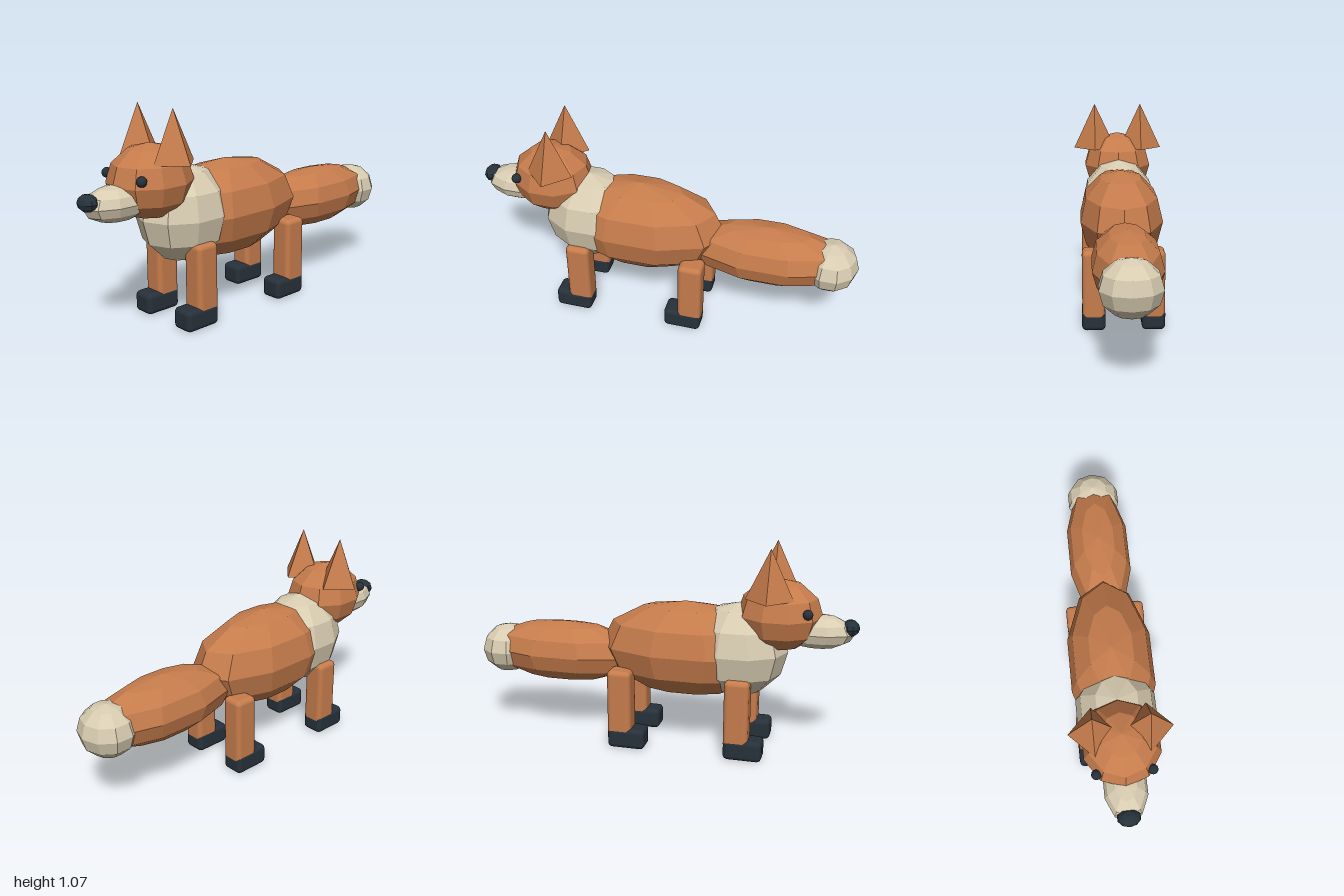
import * as THREE from 'three';
import { RoundedBoxGeometry } from 'three/addons/geometries/RoundedBoxGeometry.js';

export function createModel() {
  const model = new THREE.Group();
  model.name = 'fox';
  const mat = (name, color) => {
    const m = new THREE.MeshStandardMaterial({ color });
    m.name = name;
    return m;
  };
  const orange = mat('orange fur', 0xc67c4c);
  const cream = mat('cream fur', 0xd8ccb1);
  const dark = mat('dark charcoal', 0x27313a);

  const add = (name, geometry, material, x, y, z) => {
    const mesh = new THREE.Mesh(geometry, material);
    mesh.name = name;
    mesh.position.set(x, y, z);
    model.add(mesh);
    return mesh;
  };

  // Faceted geometry keeps one normal per face
  const faceted = (geometry) => {
    const g = geometry.toNonIndexed();
    g.computeVertexNormals();
    return g;
  };

  // Ten-sided ellipsoid with a vertex pointing straight forward
  const blob = (name, material, [x, y, z], [rx, ry, rz]) => {
    const g = new THREE.SphereGeometry(1, 10, 6, Math.PI / 2);
    g.scale(rx, ry, rz);
    return add(name, faceted(g), material, x, y, z);
  };

  // Body, chest and tail
  blob('body', orange, [0, 0.513, 0.14], [0.226, 0.248, 0.46]);
  blob('chest', cream, [0, 0.53, 0.41], [0.212, 0.243, 0.25]);
  blob('tail', orange, [0, 0.448, -0.535], [0.172, 0.162, 0.43]);
  blob('tailTip', cream, [0, 0.438, -0.86], [0.146, 0.132, 0.14]);

  // Head, muzzle and nose
  blob('head', orange, [0, 0.722, 0.61], [0.194, 0.18, 0.212]);
  blob('muzzle', cream, [0, 0.65, 0.8], [0.109, 0.086, 0.18]);
  blob('nose', dark, [0, 0.676, 0.955], [0.058, 0.041, 0.045]);

  // Paired parts, mirrored left and right
  for (const [label, side] of [['left', 1], ['right', -1]]) {
    add(`${label}Eye`, new THREE.SphereGeometry(0.025, 12, 8), dark, side * 0.132, 0.761, 0.758);
    add(`${label}Ear`, faceted(new THREE.ConeGeometry(0.118, 0.25, 4)), orange, side * 0.13, 0.945, 0.572);

    for (const [end, z] of [['front', 0.435], ['back', -0.172]]) {
      add(`${label} ${end} leg`, new RoundedBoxGeometry(0.115, 0.36, 0.125, 3, 0.025), orange, side * 0.152, 0.237, z);
      add(`${label} ${end} paw`, new RoundedBoxGeometry(0.12, 0.108, 0.195, 3, 0.025), dark, side * 0.152, 0.054, z + 0.036);
    }
  }
  return model;
}
